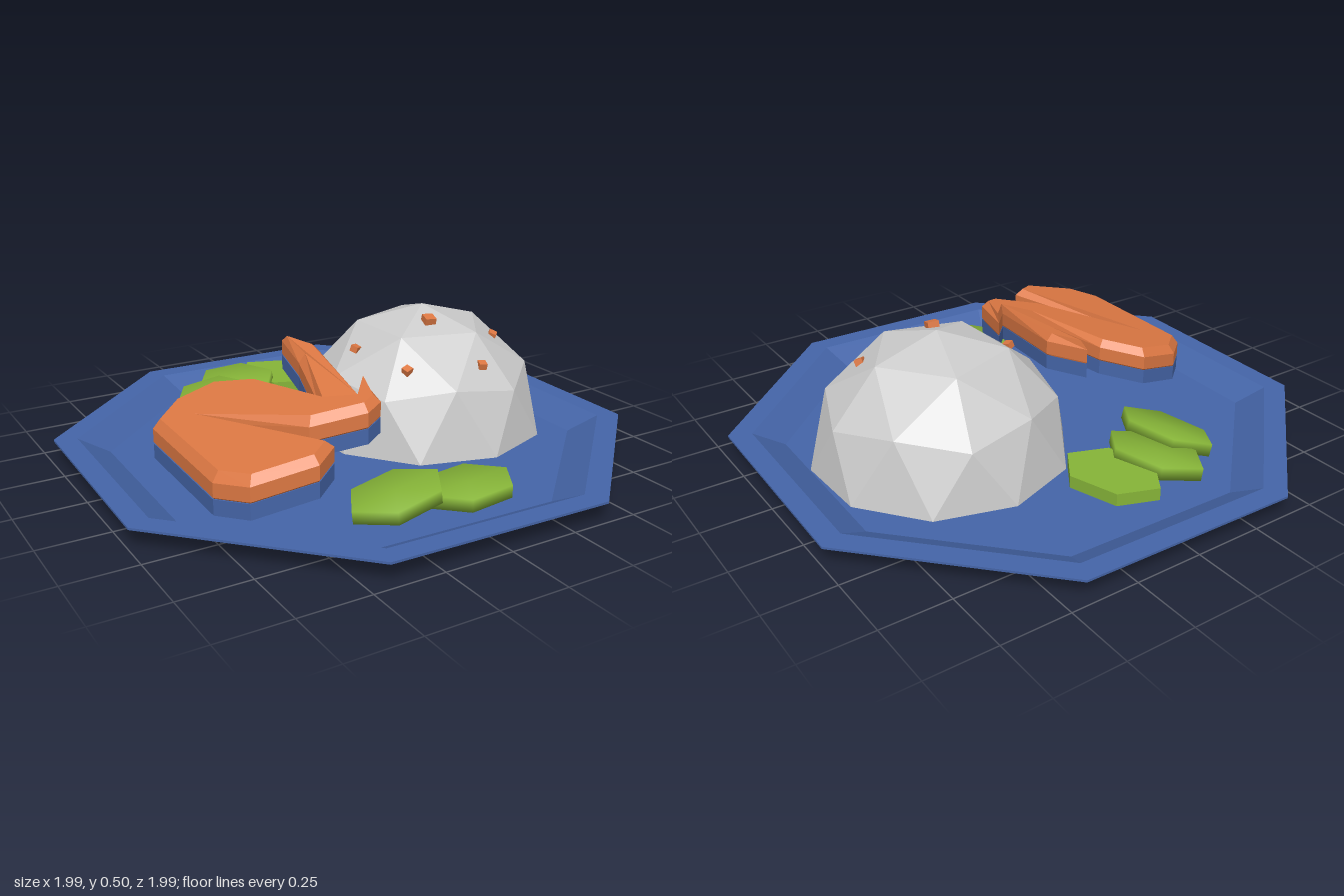
import * as THREE from 'three';
import { mergeVertices } from 'three/addons/utils/BufferGeometryUtils.js';

const rad = THREE.MathUtils.degToRad;
const mat = (color, flatShading = true) =>
  new THREE.MeshStandardMaterial({ color, flatShading, side: THREE.DoubleSide });
const BLUE = 0x4565a8, ORANGE = 0xdd7843, GREEN = 0x86b438, GREY = 0xcccccc;

function part(parent, name, geometry, material) {
  const mesh = new THREE.Mesh(geometry, material);
  mesh.name = name;
  parent.add(mesh);
  return mesh;
}

// Move every vertex of a geometry by a rule
function deform(geometry, rule) {
  const p = geometry.attributes.position, v = new THREE.Vector3();
  for (let i = 0; i < p.count; i++) {
    rule(v.fromBufferAttribute(p, i));
    p.setXYZ(i, v.x, v.y, v.z);
  }
  geometry.computeVertexNormals();
  return geometry;
}

// Eight-sided plate with a thin flat rim
function plateGeometry() {
  const profile = [[0, 0], [0.9, 0], [0.99, 0.065], [1.07, 0.065], [1.07, 0.073],
    [0.985, 0.073], [0.87, 0.015], [0, 0.015]].map(([r, y]) => new THREE.Vector2(r, y));
  return new THREE.LatheGeometry(profile, 8, rad(21.3));
}

// Upper half of a faceted ball, standing on one corner
function moundGeometry() {
  const g = new THREE.IcosahedronGeometry(0.47, 1);
  g.rotateX(-Math.atan((1 + Math.sqrt(5)) / 2));
  g.rotateY(rad(20));
  return deform(g, v => { v.y = Math.max(v.y, -0.01); });
}

// Outline of the folded fillet as x, z
const FILLET = [[-0.74, 0.45], [-0.67, 0.57], [-0.46, 0.625], [-0.37, 0.56], [-0.59, 0.04],
  [-0.36, 0.38], [-0.18, 0.455], [-0.11, 0.42], [-0.06, 0.22], [-0.15, 0.33], [-0.07, -0.08],
  [-0.14, -0.23], [-0.17, -0.04], [-0.25, 0.24], [-0.32, -0.08], [-0.44, -0.2],
  [-0.61, -0.18], [-0.73, -0.07]];

// One layer of the fillet, leaning up toward the mound with a raised tip
function filletLayer(base, height, bevel) {
  const shape = new THREE.Shape(FILLET.map(([x, z]) => new THREE.Vector2(x, -z)));
  const g = new THREE.ExtrudeGeometry(shape, {
    depth: height - 2 * bevel, bevelEnabled: bevel > 0, bevelThickness: bevel,
    bevelSize: bevel * 0.8, bevelOffset: -bevel * 0.8, bevelSegments: 1,
  });
  g.translate(0, 0, bevel).rotateX(-Math.PI / 2);
  return deform(g, v => {
    v.y += base + 0.22 * (v.x + 0.74);
    if (v.x > -0.24 && v.z < 0.2) v.y += 0.13 * (0.2 - v.z);
  });
}

// Six-sided oval slice, long along z
function sliceGeometry(smooth) {
  let g = new THREE.CylinderGeometry(1, 1, 0.045, 6, 1);
  g.scale(0.135, 1, 0.185);
  if (smooth) {
    g.deleteAttribute('normal');
    g.deleteAttribute('uv');
    g = mergeVertices(g);
    g.computeVertexNormals();
  }
  return g;
}

export function createModel() {
  const model = new THREE.Group();
  model.name = 'mealOnPlate';

  part(model, 'plate', plateGeometry(), mat(BLUE));

  const mound = part(model, 'riceMound', moundGeometry(), mat(GREY));
  mound.position.set(0.355, 0.03, -0.02);

  // Crumbs scattered on the mound: x, y, z, size
  const crumbs = [[0.06, 0.365, -0.02, 0.03], [0.31, 0.465, 0.09, 0.042], [0.58, 0.38, 0.13, 0.03],
    [0.13, 0.335, 0.22, 0.03], [0.4, 0.335, 0.305, 0.03]];
  crumbs.forEach(([x, y, z, s], i) => {
    const crumb = part(model, 'crumb', new THREE.BoxGeometry(s, s * 0.8, s), mat(ORANGE));
    crumb.position.set(x, y, z);
    crumb.rotation.set(0.3, 0.4 + i, (0.355 - x) * -0.9);
  });

  // Folded fillet: skin below, flesh above
  const fillet = new THREE.Group();
  fillet.name = 'fillet';
  model.add(fillet);
  part(fillet, 'filletSkin', filletLayer(0.075, 0.055, 0), mat(BLUE));
  part(fillet, 'filletFlesh', filletLayer(0.105, 0.11, 0.03), mat(ORANGE));

  // Vegetable slices: x, y, z, turn, sideways tilt, smooth
  const slices = [
    [0.03, 0.095, -0.6, 18, 0, false],
    [-0.165, 0.105, -0.59, 18, 10, true],
    [-0.315, 0.1, -0.475, 18, 16, true],
    [-0.175, 0.075, 0.62, 98, 7, true],
    [0.105, 0.045, 0.63, 98, 0, true],
  ];
  for (const [x, y, z, turn, tilt, smooth] of slices) {
    const slice = part(model, 'vegetableSlice', sliceGeometry(smooth), mat(GREEN, !smooth));
    slice.position.set(x, y, z);
    // Turn about the upright axis first, then lean up toward +x
    slice.rotation.set(0, rad(turn), rad(tilt), 'ZYX');
  }
  return model;
}
